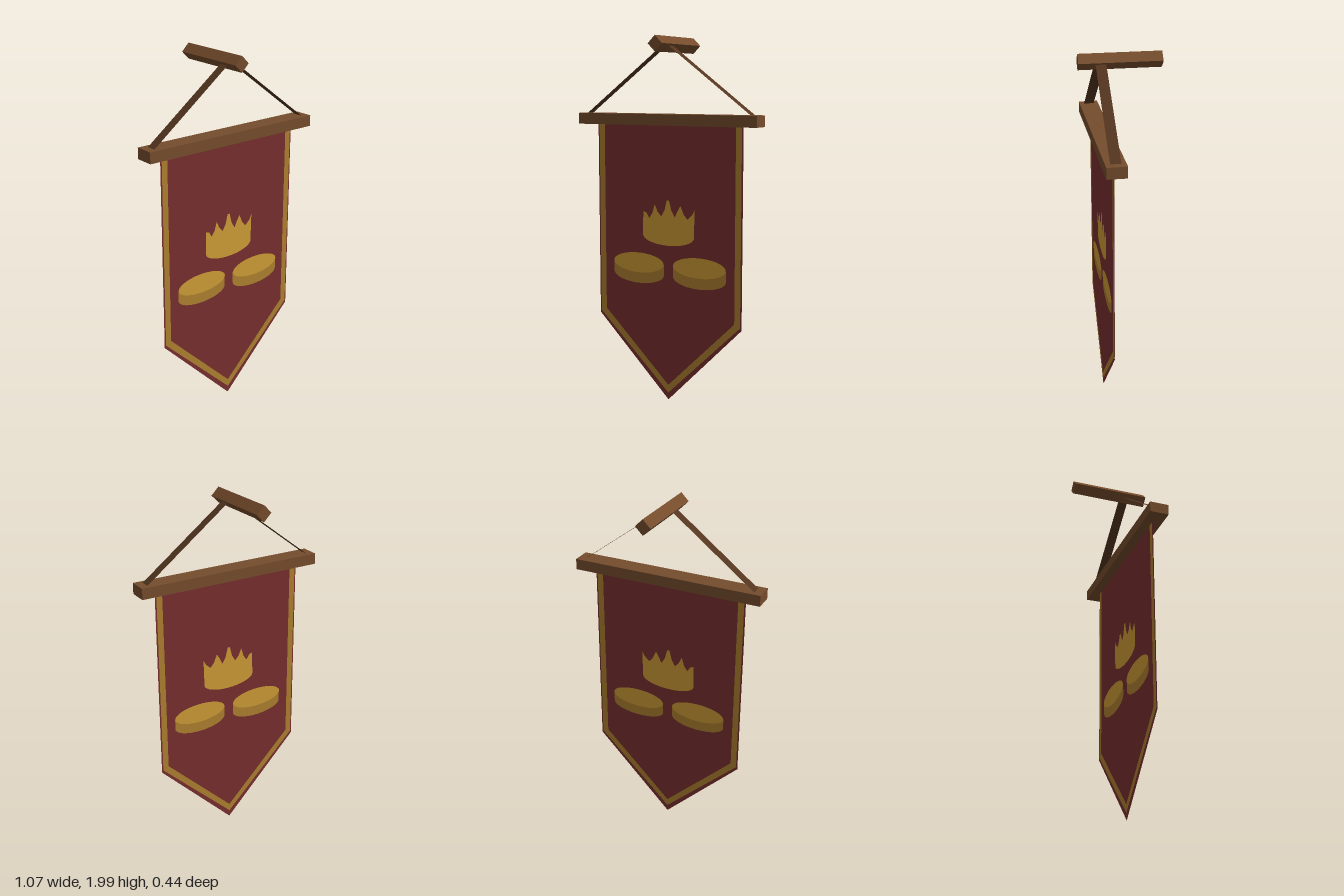
import * as THREE from 'three';

const mat = (name, color, side = THREE.FrontSide) => {
  const m = new THREE.MeshStandardMaterial({ color, side });
  m.name = name;
  return m;
};

export function createModel() {
  const wood = mat('wood', 0x754c2c);
  const strapBrown = mat('dark strap', 0x53351f, THREE.DoubleSide);
  const red = mat('red cloth', 0x782e2e, THREE.DoubleSide);
  const gold = mat('bright gold', 0xcc9a35, THREE.DoubleSide);
  const darkGold = mat('dark gold', 0xac7f2e, THREE.DoubleSide);

  const model = new THREE.Group();
  model.name = 'hangingBanner';
  const Z = 0.1025; // plane of the cloth

  const add = (name, geometry, material, x = 0, y = 0, z = 0) => {
    const mesh = new THREE.Mesh(geometry, material);
    mesh.name = name;
    mesh.position.set(x, y, z);
    model.add(mesh);
    return mesh;
  };
  const polygon = (pts) => new THREE.Shape(pts.map(([x, y]) => new THREE.Vector2(x, y)));
  // Flat emblem piece on both faces of the cloth
  const addBoth = (name, shape, material, lift) => {
    const geometry = new THREE.ShapeGeometry(shape, 24);
    add(name + 'Front', geometry, material, 0, 0, Z + lift);
    add(name + 'Back', geometry, material, 0, 0, Z - lift);
  };

  // Wall beam, turned on its edge
  const beam = add('wallBeam', new THREE.BoxGeometry(0.06, 0.06, 0.438), wood, -0.014, 1.9575, 0);
  beam.rotation.z = Math.PI / 4;

  // Crossbar
  add('crossbar', new THREE.BoxGeometry(1.074, 0.06, 0.105), wood, 0, 1.56, Z);

  // Flat straps from the beam to the crossbar ends
  for (const s of [-1, 1]) {
    const a = new THREE.Vector2(s * 0.5, 1.585), b = new THREE.Vector2(s * 0.005 - 0.003, 1.96);
    const strap = add(s < 0 ? 'rightStrap' : 'leftStrap',
      new THREE.PlaneGeometry(a.distanceTo(b), 0.055).rotateX(-Math.PI / 2),
      strapBrown, (a.x + b.x) / 2, (a.y + b.y) / 2, Z);
    strap.rotation.z = Math.atan2(b.y - a.y, b.x - a.x) + (s > 0 ? Math.PI : 0);
  }

  // Cloth with a pointed lower end
  add('cloth', new THREE.ShapeGeometry(polygon([
    [-0.442, 1.55], [-0.442, 0.455], [0, 0.005], [0.442, 0.455], [0.442, 1.55],
  ])), red, 0, 0, Z);

  // Trim
  addBoth('trim', polygon([
    [-0.434, 1.55], [-0.434, 0.468], [0, 0.045], [0.434, 0.468], [0.434, 1.55],
    [0.4, 1.55], [0.4, 0.485], [0, 0.09], [-0.4, 0.485], [-0.4, 1.55],
  ]), darkGold, 0.002);

  // Crown with a curved base
  const crown = polygon([
    [0.158, 0.93], [0.162, 1.085], [0.148, 1.055], [0.118, 1.028], [0.095, 1.055], [0.076, 1.1],
    [0.058, 1.07], [0.042, 1.035], [0.02, 1.07], [0.006, 1.125], [-0.008, 1.125], [-0.022, 1.07],
    [-0.042, 1.035], [-0.065, 1.06], [-0.083, 1.1], [-0.098, 1.05], [-0.118, 1.022],
    [-0.135, 1.05], [-0.155, 1.058], [-0.158, 0.93],
  ]);
  crown.absellipse(0, 0.93, 0.158, 0.054, Math.PI, Math.PI * 2, false);
  addBoth('crown', crown, gold, 0.002);

  // Two coins: darker rim below, bright top face
  for (const [name, x] of [['rightCoin', -0.186], ['leftCoin', 0.19]]) {
    const rim = new THREE.Shape();
    rim.moveTo(x + 0.159, 0.768);
    rim.lineTo(x - 0.159, 0.768);
    rim.absellipse(x, 0.708, 0.159, 0.056, Math.PI, Math.PI * 2, false);
    addBoth(name + 'Rim', rim, darkGold, 0.002);
    const face = new THREE.Shape();
    face.absellipse(x, 0.768, 0.159, 0.056, 0, Math.PI * 2, false);
    addBoth(name + 'Face', face, gold, 0.004);
  }
  return model;
}
